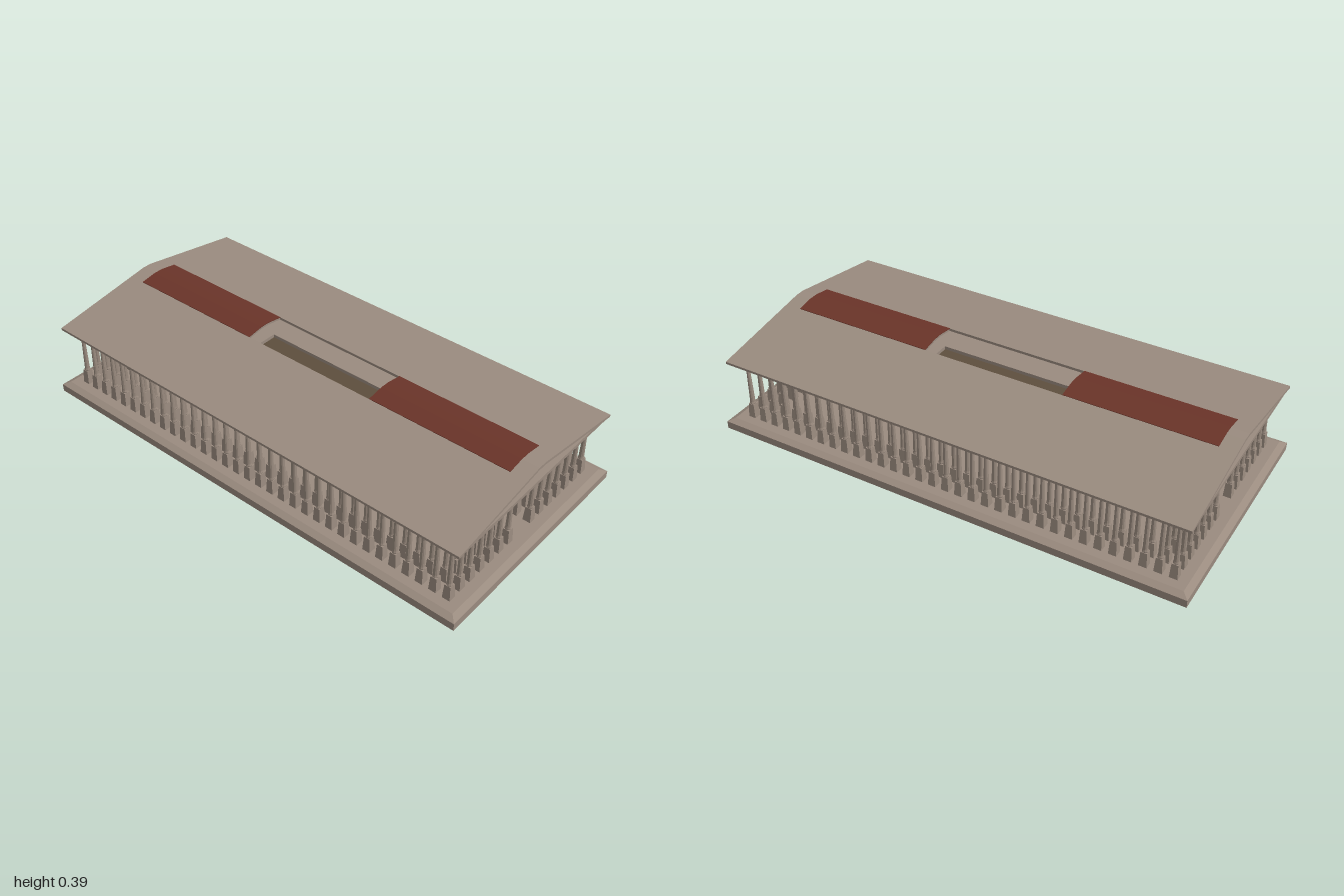
import * as THREE from 'three';
import { mergeGeometries } from 'three/addons/utils/BufferGeometryUtils.js';

const material = (color) => new THREE.MeshStandardMaterial({ color, flatShading: true, side: THREE.DoubleSide });
const stone = material(0x9a8b7f);
const brick = material(0x9b8468);
const red = material(0x6a3429);

export function createModel() {
  const model = new THREE.Group();
  model.name = 'temple';

  function add(name, geometry, mat, x = 0, y = 0, z = 0, parent = model) {
    const mesh = new THREE.Mesh(geometry, mat);
    mesh.name = name;
    mesh.position.set(x, y, z);
    parent.add(mesh);
    return mesh;
  }
  // box given by its limits
  function block(name, x0, x1, y0, y1, z0, z1, mat = stone, parent = model) {
    return add(name, new THREE.BoxGeometry(x1 - x0, y1 - y0, z1 - z0), mat,
      (x0 + x1) / 2, (y0 + y1) / 2, (z0 + z1) / 2, parent);
  }
  // four-sided block tapering from a bottom width to a top width
  function taper(top, bottom, height) {
    const g = new THREE.CylinderGeometry(top / Math.SQRT2, bottom / Math.SQRT2, height, 4);
    return g.rotateY(Math.PI / 4);
  }
  const rect = (C, w, d) => new C().setFromPoints(
    [[-w, -d], [w, -d], [w, d], [-w, d]].map(([x, y]) => new THREE.Vector2(x, y)));
  // cross-section in x, y pulled along z
  function pull(points, z0, z1) {
    const shape = new THREE.Shape(points.map(([x, y]) => new THREE.Vector2(x, y)));
    return new THREE.ExtrudeGeometry(shape, { depth: z1 - z0, bevelEnabled: false }).translate(0, 0, z0);
  }
  // horizontal slab with a rectangular hole
  function frame(w, d, holeW, holeD, height) {
    const shape = rect(THREE.Shape, w, d);
    shape.holes.push(rect(THREE.Path, holeW, holeD));
    return new THREE.ExtrudeGeometry(shape, { depth: height, bevelEnabled: false }).rotateX(-Math.PI / 2);
  }

  // Platform with a bevelled top edge and a shallow rim underneath
  add('platformRim', frame(0.5, 1, 0.48, 0.98, 0.006), stone);
  block('platform', -0.5, 0.5, 0.006, 0.032, -1, 1);
  const bevel = taper(1, 1, 0.012);
  const p = bevel.attributes.position;
  for (let i = 0; i < p.count; i++) {
    const inset = p.getY(i) > 0 ? 0.025 : 0;
    p.setXYZ(i, Math.sign(p.getX(i)) * (Math.abs(p.getX(i)) < 0.01 ? 0 : 0.5 - inset), p.getY(i),
      Math.sign(p.getZ(i)) * (Math.abs(p.getZ(i)) < 0.01 ? 0 : 1 - inset));
  }
  add('platformBevel', bevel, stone, 0, 0.038, 0);

  // One column: tapered pedestal, base ring, slender shaft and capital
  const profile = [[0.011, 0.104], [0.0125, 0.108], [0.0105, 0.116], [0.0095, 0.17], [0.0072, 0.275],
    [0.0085, 0.279], [0.011, 0.291]].map(([r, y]) => new THREE.Vector2(r, y));
  const column = mergeGeometries([
    taper(0.025, 0.032, 0.062).translate(0, 0.074, 0),
    new THREE.LatheGeometry(profile, 10),
    new THREE.BoxGeometry(0.025, 0.01, 0.025).translate(0, 0.295, 0),
  ]);

  // Two rings of columns, open in the middle of both ends
  const xs = [0.072, 0.13, 0.189, 0.247, 0.306, 0.364, 0.422];
  const step = 0.0575;
  for (const [name, outer, last] of [['outerColumns', 6, 16], ['innerColumns', 5, 15]]) {
    const parts = [];
    for (const side of [-1, 1]) {
      for (let i = -last; i <= last; i++) parts.push(column.clone().translate(side * xs[outer], 0, i * step));
      for (let i = 0; i < outer; i++) {
        for (const end of [-1, 1]) parts.push(column.clone().translate(side * xs[i], 0, end * last * step));
      }
    }
    add(name, mergeGeometries(parts), stone);
  }

  // Inner hall: side walls, and end walls with a doorway
  const hall = new THREE.Group();
  hall.name = 'innerHall';
  model.add(hall);
  for (const s of [-1, 1]) {
    block('hallSideWall', s * 0.145 - 0.005, s * 0.145 + 0.005, 0.04, 0.3, -0.64, 0.64, brick, hall);
    const wall = [[-0.14, 0.04], [-0.022, 0.04], [-0.022, 0.12], [0.022, 0.12], [0.022, 0.04],
      [0.14, 0.04], [0.14, 0.3], [-0.14, 0.3]];
    add('hallEndWall', pull(wall, s * 0.635 - 0.005, s * 0.635 + 0.005), stone, 0, 0, 0, hall);
    // door step, let into the platform
    block('doorStep', -0.05, 0.05, 0.003, 0.05, s * 0.61 - 0.045, s * 0.61 + 0.045, stone, hall);
  }
  // Stepped altar under the roof opening
  for (let i = 0; i < 3; i++) {
    block('altarStep', -0.045 + i * 0.01, 0.045 - i * 0.01, 0.044 + i * 0.017, 0.061 + i * 0.017,
      -0.15 + i * 0.05, 0.18, brick, hall);
  }

  // Entablature and ceiling with an opening over the hall
  add('entablature', frame(0.47, 0.975, 0.05, 0.3, 0.014), stone, 0, 0.299, 0);

  // Roof: two long slopes, and a crown left open in the middle
  for (const s of [-1, 1]) {
    const slope = [[0.09, 0.374], [0.475, 0.313], [0.475, 0.303], [0.09, 0.363]].map(([x, y]) => [s * x, y]);
    add('roofSlope', pull(slope, -0.98, 0.98), stone);
  }
  const crown = (lift, thick) => {
    const top = [[-0.09, 0.374], [-0.02, 0.385], [0.02, 0.385], [0.09, 0.374]];
    return [...top.map(([x, y]) => [x, y + lift]),
      ...top.reverse().map(([x, y]) => [x, y + lift - thick])];
  };
  for (const [z0, z1] of [[-0.98, -0.302], [0.302, 0.98]]) {
    add('roofCrown', pull(crown(0, 0.011), z0, z1), stone);
    const near = Math.sign(z0) > 0;
    add('redRidgeStrip', pull(crown(0.002, 0.003), near ? 0.3 : -0.91, near ? 0.91 : -0.3), red);
  }

  // Gables: recessed red triangle with a stone panel on it
  for (const s of [-1, 1]) {
    const gable = [[-0.42, 0.312], [0.42, 0.312], [0.02, 0.376], [-0.02, 0.376]];
    const panel = [[-0.28, 0.328], [0.28, 0.328], [0.02, 0.37], [-0.02, 0.37]];
    add('gable', pull(gable, s * 0.92 - 0.01, s * 0.92 + 0.01), red);
    add('gablePanel', pull(panel, s * 0.932 - 0.003, s * 0.932 + 0.003), stone);
  }

  return model;
}
